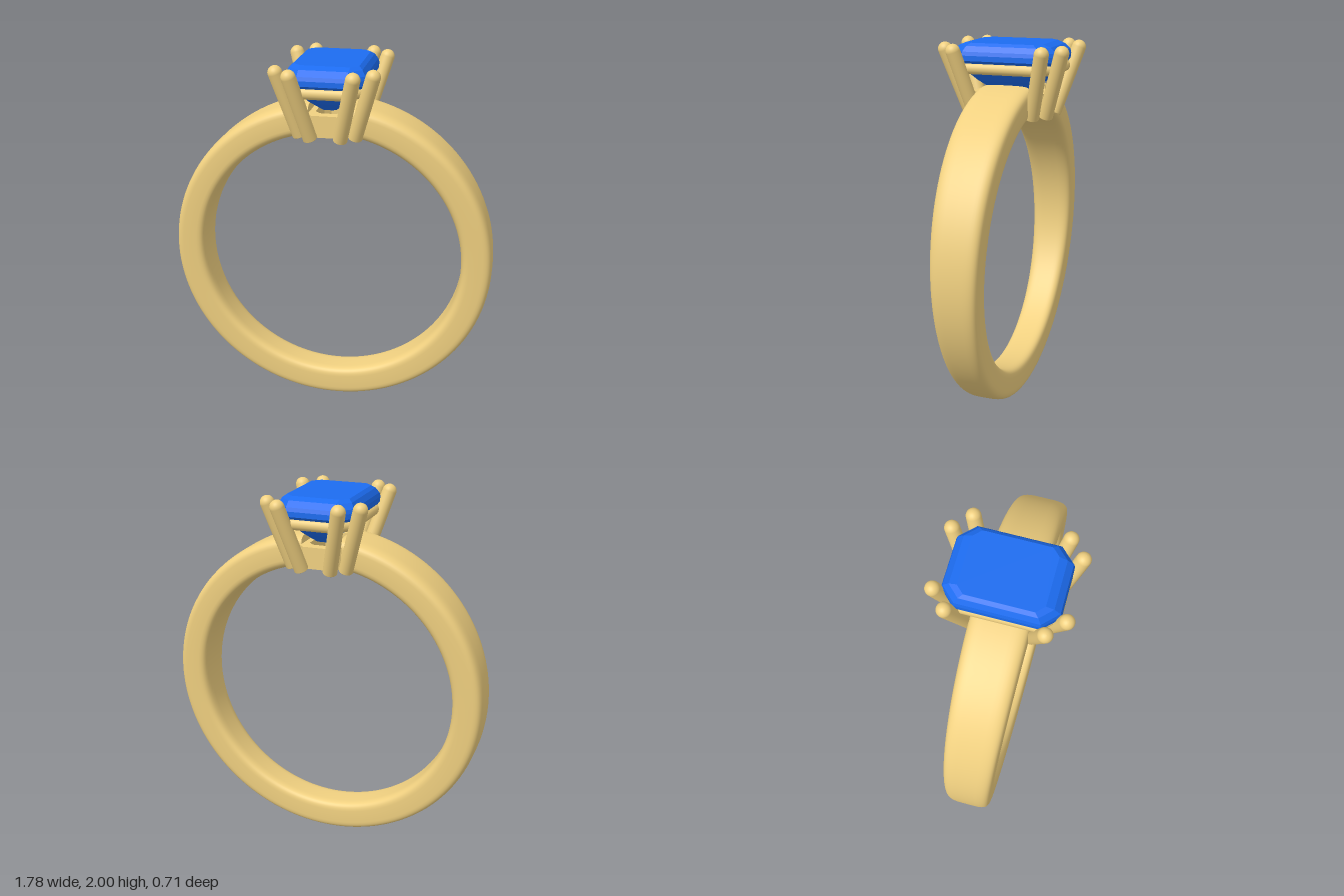
import * as THREE from 'three';

const gold = new THREE.MeshStandardMaterial({ color: 0xf0d080 });
const blue = new THREE.MeshStandardMaterial({ color: 0x1c6cf0, flatShading: true });

function addMesh(parent, name, geometry, material) {
  const mesh = new THREE.Mesh(geometry, material);
  mesh.name = name;
  parent.add(mesh);
  return mesh;
}

// Skin a list of equal-length point loops and close both ends with fans.
function loft(loops) {
  const n = loops[0].length;
  const pos = [], index = [];
  loops.forEach(loop => loop.forEach(p => pos.push(...p)));
  for (let i = 0; i < loops.length - 1; i++) {
    for (let j = 0; j < n; j++) {
      const k = (j + 1) % n;
      const a = i * n + j, b = i * n + k, c = a + n, d = b + n;
      index.push(a, c, b, b, c, d);
    }
  }
  // End caps use their own vertices so their edges stay sharp
  [loops[0], loops[loops.length - 1]].forEach((loop, end) => {
    const base = pos.length / 3;
    loop.forEach(p => pos.push(...p));
    for (let j = 1; j < n - 1; j++) {
      if (end) index.push(base, base + j + 1, base + j);
      else index.push(base, base + j, base + j + 1);
    }
  });
  const g = new THREE.BufferGeometry();
  g.setAttribute('position', new THREE.Float32BufferAttribute(pos, 3));
  g.setIndex(index);
  g.computeVertexNormals();
  return g;
}

// Rectangle with cut corners, as [x, z] pairs.
function cutRect(hx, hz, c) {
  return [[hx, hz - c], [hx - c, hz], [c - hx, hz], [-hx, hz - c],
    [-hx, c - hz], [c - hx, -hz], [hx - c, -hz], [hx, c - hz]];
}

// Ring shank: rounded section, wider at the top, open under the stone
function bandGeometry() {
  const R = 0.806, T = 0.084, cy = 0.895, gap = 0.12, steps = 128, sides = 40;
  const soft = v => Math.sign(v) * Math.pow(Math.abs(v), 0.45);
  const loops = [];
  for (let i = 0; i <= steps; i++) {
    const a = gap + (i / steps) * (Math.PI * 2 - gap * 2);
    const half = 0.122 + 0.03 * Math.cos(a);
    const loop = [];
    for (let j = 0; j < sides; j++) {
      const b = (j / sides) * Math.PI * 2;
      const r = R + T * soft(Math.cos(b));
      loop.push([r * Math.sin(a), cy + r * Math.cos(a), -half * soft(Math.sin(b))]);
    }
    loops.push(loop);
  }
  return loft(loops);
}

// Step-cut stone from keel to table: [y, half x, half z, corner cut]
function gemGeometry() {
  const layers = [
    [1.75, 0.04, 0.12, 0.015], [1.795, 0.10, 0.18, 0.04], [1.85, 0.155, 0.235, 0.06],
    [1.91, 0.21, 0.288, 0.08], [1.937, 0.21, 0.288, 0.08], [1.957, 0.204, 0.281, 0.075],
    [1.985, 0.187, 0.25, 0.06], [2.0, 0.168, 0.21, 0.04],
  ];
  return loft(layers.map(([y, hx, hz, c]) => cutRect(hx, hz, c).map(([x, z]) => [x, y, z])));
}

// Prong of unit direction +y with a flat foot and a domed tip
function prongGeometry(length, r) {
  const profile = [[0, 0], [r - 0.004, 0], [r, 0.004]];
  for (let i = 0; i <= 8; i++) {
    const a = (i / 8) * Math.PI / 2;
    profile.push([r * Math.cos(a), length - r + r * Math.sin(a)]);
  }
  return new THREE.LatheGeometry(profile.map(([x, y]) => new THREE.Vector2(x, y)), 24);
}

// Turn a mesh whose length runs along +y to a new direction
function aim(mesh, dir) {
  mesh.quaternion.setFromUnitVectors(new THREE.Vector3(0, 1, 0), dir.clone().normalize());
}

export function createModel() {
  const ring = new THREE.Group();
  ring.name = 'ring';

  addMesh(ring, 'band', bandGeometry(), gold);
  addMesh(ring, 'gemstone', gemGeometry(), blue);

  const setting = new THREE.Group();
  setting.name = 'setting';
  ring.add(setting);

  // Two prongs on each corner: tip x, tip z, foot x, foot z
  const prongs = [
    [0.26, 0.247, 0.146, 0.157],
    [0.17, 0.33, 0.078, 0.21],
  ];
  for (const sx of [-1, 1]) for (const sz of [-1, 1]) {
    for (const [tx, tz, fx, fz] of prongs) {
      const foot = new THREE.Vector3(sx * fx, 1.617, sz * fz);
      const dir = new THREE.Vector3(sx * tx, 1.998, sz * tz).sub(foot);
      const prong = addMesh(setting, 'prong', prongGeometry(dir.length(), 0.038), gold);
      prong.position.copy(foot);
      aim(prong, dir);
    }
  }

  // Gallery rail around the stone
  const rail = cutRect(0.18, 0.258, 0.075);
  rail.forEach(([x, z], i) => {
    const [nx, nz] = rail[(i + 1) % rail.length];
    const dir = new THREE.Vector3(nx - x, 0, nz - z);
    const bar = addMesh(setting, 'galleryRail', new THREE.CapsuleGeometry(0.031, dir.length(), 8, 20), gold);
    bar.position.set((x + nx) / 2, 1.87, (z + nz) / 2);
    aim(bar, dir);
  });

  // Open base frame joining the band ends and prong feet
  const toPoints = list => list.map(([x, z]) => new THREE.Vector2(x, z));
  const frame = new THREE.Shape(toPoints(cutRect(0.125, 0.195, 0.05)));
  frame.holes.push(new THREE.Path(toPoints(cutRect(0.07, 0.14, 0.03))));
  const base = addMesh(setting, 'baseFrame',
    new THREE.ExtrudeGeometry(frame, { depth: 0.115, bevelEnabled: false }), gold);
  base.rotation.x = -Math.PI / 2;
  base.position.y = 1.622;

  return ring;
}
